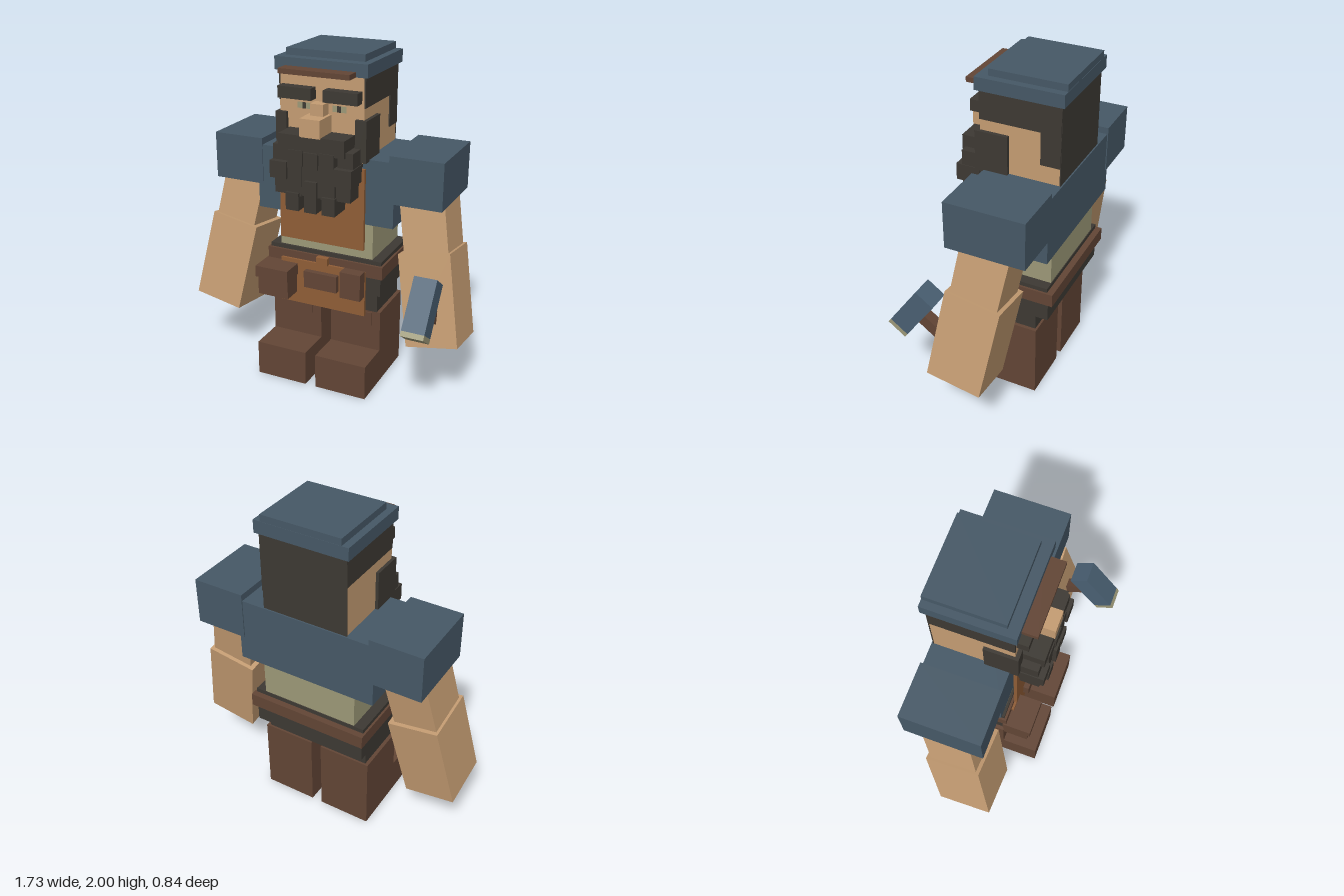
import * as THREE from 'three';

const mat = (name, color) => {
  const m = new THREE.MeshStandardMaterial({ color });
  m.name = name;
  return m;
};

export function createModel() {
  const skin = mat('skin', 0xc49c72), blue = mat('blueCloth', 0x465866);
  const brown = mat('brownLeather', 0x624535), tan = mat('apronLeather', 0x8f5d36);
  const dark = mat('darkHair', 0x3d3933), khaki = mat('khakiCloth', 0x9c9877);
  const steel = mat('steel', 0x495f72);
  const model = new THREE.Group();
  model.name = 'blacksmith';

  // Box given by its extents on each axis
  const box = (name, m, [x0, x1], [y0, y1], [z0, z1], parent = model) => {
    const mesh = new THREE.Mesh(new THREE.BoxGeometry(x1 - x0, y1 - y0, z1 - z0), m);
    mesh.position.set((x0 + x1) / 2, (y0 + y1) / 2, (z0 + z1) / 2);
    mesh.name = name;
    parent.add(mesh);
    return mesh;
  };
  // The same box on both sides
  const pair = (name, m, [x0, x1], y, z) => {
    box(name + 'Left', m, [x0, x1], y, z);
    box(name + 'Right', m, [-x1, -x0], y, z);
  };

  // Legs and boots
  pair('leg', brown, [0.033, 0.357], [0.215, 0.47], [-0.318, 0.02]);
  pair('boot', brown, [0.033, 0.357], [0, 0.215], [-0.318, 0.24]);
  pair('kneePatch', brown, [0.09, 0.305], [0.375, 0.46], [0.02, 0.028]);

  // Hips, belt and waist
  box('hips', dark, [-0.335, 0.335], [0.47, 0.58], [-0.305, 0.02]);
  box('trouserTop', dark, [-0.357, 0.357], [0.58, 0.7], [-0.39, 0.03]);
  box('belt', brown, [-0.375, 0.375], [0.7, 0.78], [-0.422, 0.05]);
  box('beltLining', dark, [-0.362, 0.362], [0.78, 0.805], [-0.385, 0.035]);
  box('undershirt', khaki, [-0.3, 0.3], [0.8, 1.04], [-0.38, 0.02]);

  // Apron and pouches
  box('apronBib', tan, [-0.268, 0.268], [0.88, 1.37], [0.063, 0.083]);
  box('apronSkirt', tan, [-0.278, 0.272], [0.45, 0.735], [0.045, 0.065]);
  box('buckle', tan, [-0.038, 0.035], [0.735, 0.78], [0.045, 0.08]);
  box('bigPouch', brown, [-0.375, -0.175], [0.52, 0.64], [0.03, 0.185]);
  box('bigPouchFlap', brown, [-0.382, -0.168], [0.64, 0.71], [0.03, 0.205]);
  box('middlePouch', brown, [-0.11, 0.105], [0.58, 0.685], [0.06, 0.1]);
  box('smallPouch', brown, [0.14, 0.27], [0.575, 0.74], [0.06, 0.13]);

  // Shirt and sleeves
  box('shirt', blue, [-0.43, 0.43], [1.03, 1.42], [-0.41, 0.045]);
  pair('sleeve', blue, [0.4, 0.717], [1.18, 1.46], [-0.416, 0.05]);

  // Arms swing outward and forward
  for (const s of [1, -1]) {
    const side = s > 0 ? 'Left' : 'Right';
    const limb = (name, size, x, y, z) => {
      const mesh = new THREE.Mesh(new THREE.BoxGeometry(...size), skin);
      mesh.position.set(s * x, y, z);
      mesh.rotation.set(-0.155, 0, s * 0.178);
      mesh.name = name + side;
      model.add(mesh);
    };
    limb('upperArm', [0.265, 0.48, 0.285], 0.583, 1.1, -0.162);
    limb('forearm', [0.31, 0.55, 0.33], 0.665, 0.615, -0.087);
  }

  // Hammer in the left hand
  const hammer = new THREE.Group();
  hammer.name = 'hammer';
  hammer.position.set(0.697, 0.682, 0.266);
  hammer.rotation.x = -0.62;
  box('hammerHead', steel, [-0.067, 0.067], [-0.139, 0.169], [-0.064, 0.064], hammer);
  box('hammerFace', khaki, [-0.067, 0.067], [-0.169, -0.139], [-0.064, 0.064], hammer);
  box('hammerHandle', brown, [-0.032, 0.032], [-0.035, 0.035], [-0.33, -0.06], hammer);
  model.add(hammer);

  // Head and hair
  box('head', skin, [-0.262, 0.258], [1.4, 1.89], [-0.397, 0.072]);
  box('hairBack', dark, [-0.264, 0.26], [1.41, 1.89], [-0.402, -0.396]);
  pair('hairSide', dark, [0.256, 0.265], [1.715, 1.885], [-0.4, 0.073]);
  box('hairStrip', dark, [0.256, 0.265], [1.525, 1.715], [-0.4, -0.285]);
  pair('sideburn', dark, [0.212, 0.28], [1.41, 1.65], [-0.1, 0.095]);

  // Face
  pair('eyebrow', dark, [0.037, 0.243], [1.74, 1.807], [0.06, 0.137]);
  pair('eye', khaki, [0.065, 0.15], [1.677, 1.712], [0.07, 0.074]);
  pair('pupil', dark, [0.096, 0.118], [1.677, 1.712], [0.07, 0.077]);
  box('noseBridge', skin, [-0.04, 0.04], [1.65, 1.727], [0.06, 0.14]);
  box('nose', skin, [-0.065, 0.06], [1.555, 1.66], [0.06, 0.222]);

  // Beard of stacked blocks
  box('beardCore', dark, [-0.2, 0.2], [1.3, 1.5], [0.05, 0.17]);
  pair('moustache', dark, [0, 0.202], [1.46, 1.56], [0.06, 0.214]);
  pair('beardCheek', dark, [0.155, 0.247], [1.38, 1.49], [0.06, 0.195]);
  pair('beardUpper', dark, [0.05, 0.143], [1.385, 1.475], [0.06, 0.22]);
  box('beardUpperMiddle', dark, [-0.043, 0.043], [1.375, 1.47], [0.06, 0.225]);
  pair('beardOuter', dark, [0.147, 0.252], [1.3, 1.4], [0.085, 0.23]);
  pair('beardLower', dark, [0.06, 0.147], [1.205, 1.4], [0.085, 0.215]);
  box('beardLowerMiddle', dark, [-0.063, 0.06], [1.21, 1.4], [0.085, 0.21]);
  pair('beardFlank', dark, [0.147, 0.235], [1.205, 1.3], [0.085, 0.2]);
  pair('beardTip', dark, [0.072, 0.153], [1.12, 1.225], [0.085, 0.23]);
  box('beardTipMiddle', dark, [-0.035, 0.04], [1.12, 1.305], [0.085, 0.232]);

  // Cap with leather visor
  box('capBand', blue, [-0.284, 0.282], [1.885, 1.96], [-0.42, 0.09]);
  box('capTop', blue, [-0.243, 0.24], [1.96, 2], [-0.418, 0.028]);
  box('visor', brown, [-0.218, 0.212], [1.885, 1.914], [0.06, 0.175]);

  return model;
}
